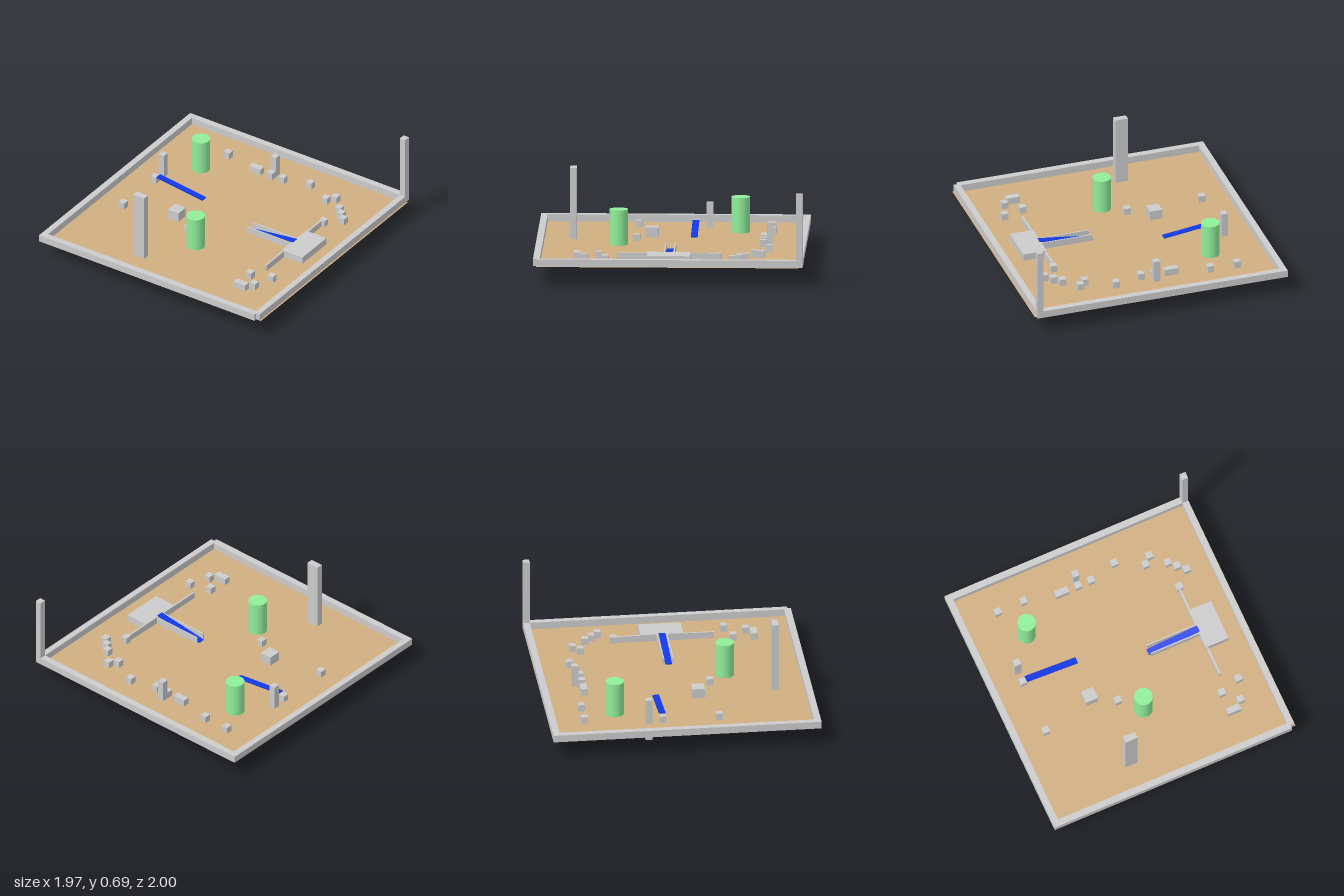
import * as THREE from 'three';

const FLOOR = 0.135;
const WALL_TOP = 0.19;

export function createModel() {
  const model = new THREE.Group();
  model.name = 'arena';

  const grey = new THREE.MeshStandardMaterial({ color: 0xcccccc });
  const green = new THREE.MeshStandardMaterial({ color: 0x90ee9a });
  const blue = new THREE.MeshStandardMaterial({ color: 0x1238e6 });
  const tan = new THREE.MeshStandardMaterial({ color: 0xd0ae80, side: THREE.DoubleSide });

  function add(name, geometry, material, x, y, z) {
    const mesh = new THREE.Mesh(geometry, material);
    mesh.name = name;
    mesh.position.set(x, y, z);
    model.add(mesh);
    return mesh;
  }

  // Box given by its limits on each axis
  function box(name, x0, x1, y0, y1, z0, z1, material = grey) {
    return add(name, new THREE.BoxGeometry(x1 - x0, y1 - y0, z1 - z0), material,
      (x0 + x1) / 2, (y0 + y1) / 2, (z0 + z1) / 2);
  }

  // Floor sheet, set slightly off the walls towards +x
  const floor = new THREE.PlaneGeometry(1.95, 1.945).rotateX(-Math.PI / 2);
  add('floor', floor, tan, 0.008, FLOOR, 0.002);

  // Surrounding walls; the front one is in two lengths
  const base = FLOOR + 0.001;
  box('leftWall', -0.983, -0.935, base, WALL_TOP, -0.95, 0.95);
  box('backWall', -0.983, 0.925, base, WALL_TOP, -1, -0.95);
  box('rightWall', 0.925, 0.972, base, WALL_TOP, -0.95, 0.975);
  box('frontWallLong', -0.983, 0.52, base, WALL_TOP, 0.95, 1);
  box('frontWallShort', 0.52, 0.942, base, WALL_TOP, 0.95, 1);

  // Tall posts
  box('cornerPost', 0.925, 0.972, base, 0.69, -1, -0.95);
  box('leftPost', -0.752, -0.702, 0, 0.325, -0.285, -0.235);
  box('frontPost', -0.302, -0.204, 0.055, 0.67, 0.712, 0.762);
  box('backPost', -0.068, -0.018, 0.02, 0.302, -0.756, -0.706);
  box('largeBlock', -0.37, -0.275, 0.11, 0.21, 0.108, 0.203);

  // Green columns
  for (const [x, z] of [[-0.545, -0.492], [0.008, 0.394]]) {
    add('column', new THREE.CylinderGeometry(0.069, 0.069, 0.285, 48), green, x, 0.2575, z);
  }

  // Small blocks scattered on the floor: x, z and width
  const blocks = [
    [-0.672, -0.733], [-0.463, -0.733], [-0.175, -0.68, 0.104], [-0.043, -0.68],
    [0.061, -0.68], [0.272, -0.733], [0.533, -0.68], [0.482, -0.628],
    [0.638, -0.575], [0.69, -0.523], [0.743, -0.47], [0.638, -0.365],
    [-0.727, -0.156], [-0.727, 0.265], [-0.143, 0.265], [0.743, 0.473],
    [0.585, 0.525], [0.69, 0.63], [0.611, 0.683, 0.104],
  ];
  for (const [x, z, width = 0.05] of blocks) {
    box('floorBlock', x - width / 2, x + width / 2, base, 0.187, z - 0.025, z + 0.025);
  }

  // Raised platform with side fins and ramp rails
  box('platform', 0.62, 0.803, base, WALL_TOP, -0.16, 0.16);
  box('backFin', 0.624, 0.638, 0.128, 0.184, -0.355, -0.16);
  box('frontFin', 0.624, 0.638, 0.128, 0.184, 0.16, 0.39);
  box('backRail', 0.227, 0.62, base, 0.187, -0.04, -0.03);
  box('frontRail', 0.227, 0.62, base, 0.187, 0.03, 0.04);

  // Blue sloping strips, from one end to the other
  function ramp(x0, y0, x1, y1, z) {
    const length = Math.hypot(x1 - x0, y1 - y0);
    const strip = add('ramp', new THREE.BoxGeometry(length, 0.006, 0.05), blue,
      (x0 + x1) / 2, (y0 + y1) / 2, z);
    strip.rotation.z = Math.atan2(y1 - y0, x1 - x0);
  }
  ramp(0.218, 0.139, 0.63, 0.192, 0.002);
  ramp(-0.7, 0.192, -0.288, 0.139, -0.156);

  return model;
}
